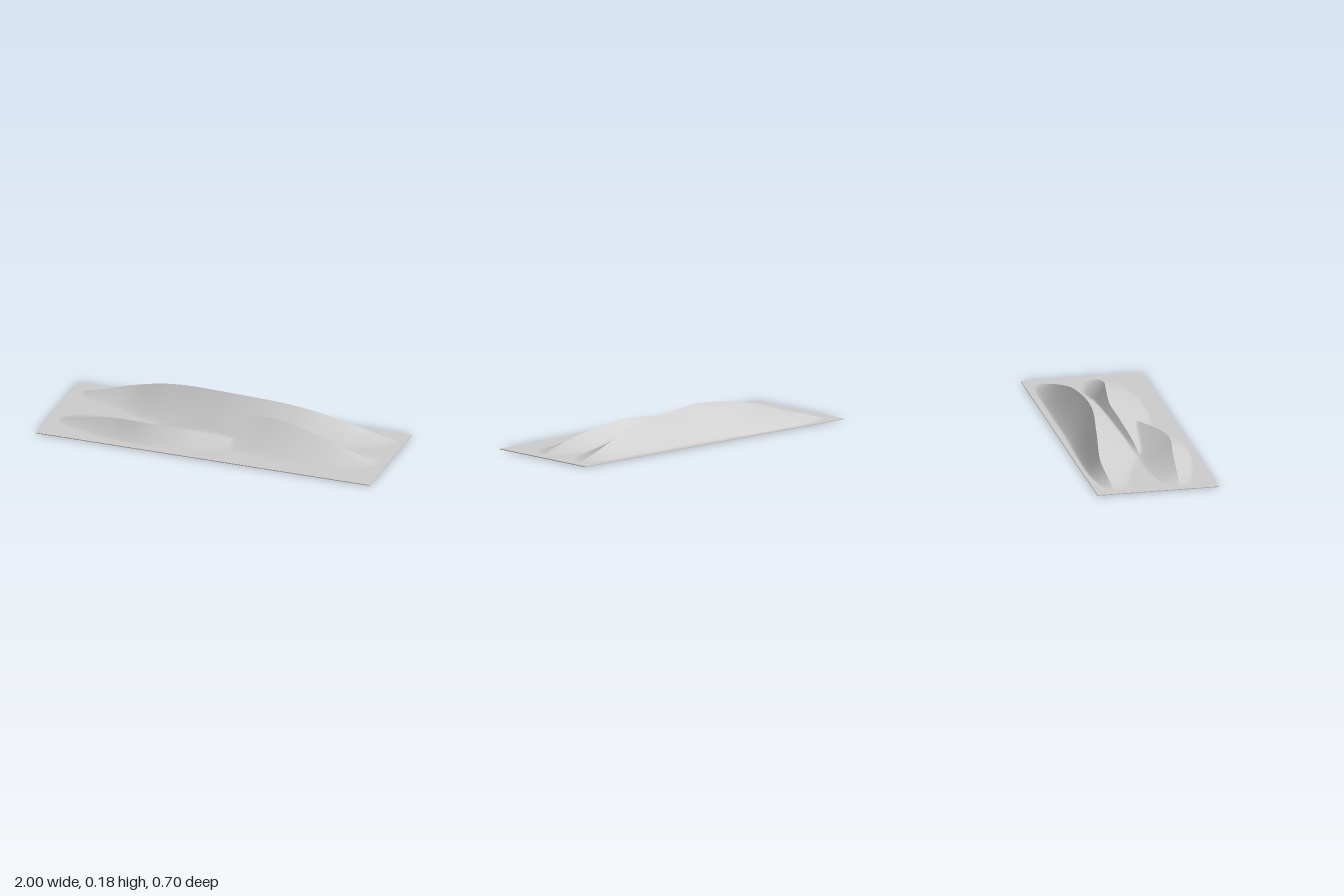
import * as THREE from 'three';

const BASE = 0.005, HALF_X = 1, HALF_Z = 0.35;

// Each dune: rows of [x, crest z, crest height, back slope width, front slope width]
const duneRows = [
  [ // tall back dune
    [-0.95, -0.24, 0, 0.06, 0.12], [-0.8, -0.25, 0.042, 0.07, 0.15], [-0.65, -0.257, 0.085, 0.075, 0.19],
    [-0.4, -0.222, 0.15, 0.11, 0.24], [0, -0.167, 0.18, 0.155, 0.24], [0.4, -0.182, 0.152, 0.14, 0.24],
    [0.65, -0.212, 0.093, 0.11, 0.2], [0.8, -0.232, 0.045, 0.09, 0.16], [0.95, -0.24, 0, 0.07, 0.12],
  ],
  [ // middle dune
    [-0.42, 0.03, 0, 0.05, 0.08], [-0.22, 0.015, 0.055, 0.06, 0.12], [0, -0.015, 0.112, 0.11, 0.2],
    [0.15, -0.025, 0.13, 0.13, 0.25], [0.35, -0.003, 0.142, 0.14, 0.25], [0.6, 0.042, 0.1, 0.13, 0.2],
    [0.8, 0.06, 0.048, 0.11, 0.15], [0.95, 0.06, 0, 0.08, 0.12],
  ],
  [ // low front dune
    [-0.95, 0.14, 0, 0.1, 0.08], [-0.8, 0.15, 0.045, 0.14, 0.1], [-0.6, 0.172, 0.082, 0.18, 0.12],
    [-0.4, 0.2, 0.097, 0.2, 0.12], [-0.2, 0.18, 0.086, 0.2, 0.12], [0, 0.135, 0.058, 0.17, 0.11],
    [0.15, 0.115, 0.03, 0.12, 0.1], [0.35, 0.11, 0, 0.1, 0.1],
  ],
];

// Smooth lookup of a dune's cross-section at any x
function makeDune(rows) {
  const curve = new THREE.CubicInterpolant(rows.map((r) => r[0]), rows.flatMap((r) => r.slice(1)), 4, new Array(4));
  return (x) => {
    const clamped = THREE.MathUtils.clamp(x, rows[0][0], rows[rows.length - 1][0]);
    const [crest, height, back, front] = curve.evaluate(clamped);
    return { crest, height, back, front };
  };
}

// Ground height is the highest of the dune slopes, each falling concavely to its foot
function heightAt(sections, z) {
  let y = BASE;
  for (const s of sections) {
    const d = z - s.crest;
    const t = Math.abs(d) / (d < 0 ? s.back : s.front);
    if (t < 1) y = Math.max(y, s.height * Math.pow(1 - t, 1.25));
  }
  return y;
}

// One smooth strip of sand between two neighbouring crest lines
function sandStrip(dunes, index) {
  const nx = 120, nz = 24, pos = [], idx = [];
  for (let i = 0; i <= nx; i++) {
    const x = -HALF_X + (2 * HALF_X * i) / nx;
    const sections = dunes.map((d) => d(x));
    const lines = [-HALF_Z, ...sections.map((s) => s.crest), HALF_Z];
    for (let j = 0; j <= nz; j++) {
      const z = THREE.MathUtils.lerp(lines[index], lines[index + 1], j / nz);
      pos.push(x, heightAt(sections, z), z);
      if (i < nx && j < nz) {
        const a = i * (nz + 1) + j, b = a + nz + 1;
        idx.push(a, a + 1, b, b, a + 1, b + 1);
      }
    }
  }
  const geo = new THREE.BufferGeometry();
  geo.setAttribute('position', new THREE.Float32BufferAttribute(pos, 3));
  geo.setIndex(idx);
  geo.computeVertexNormals();
  return geo;
}

export function createModel() {
  const group = new THREE.Group();
  group.name = 'duneField';
  const sand = new THREE.MeshStandardMaterial({ color: 0xcccccc });
  sand.name = 'paleGreySand';

  // Dune surface, split at the crests so they stay sharp
  const dunes = duneRows.map(makeDune);
  const names = ['backSlope', 'backValley', 'frontValley', 'frontSlope'];
  names.forEach((name, i) => {
    const mesh = new THREE.Mesh(sandStrip(dunes, i), sand);
    mesh.name = name;
    group.add(mesh);
  });

  // Thin slab beneath the sand
  const slab = new THREE.Mesh(new THREE.BoxGeometry(2 * HALF_X, BASE - 0.0005, 2 * HALF_Z), sand);
  slab.name = 'baseSlab';
  slab.position.y = (BASE - 0.0005) / 2;
  group.add(slab);
  return group;
}
